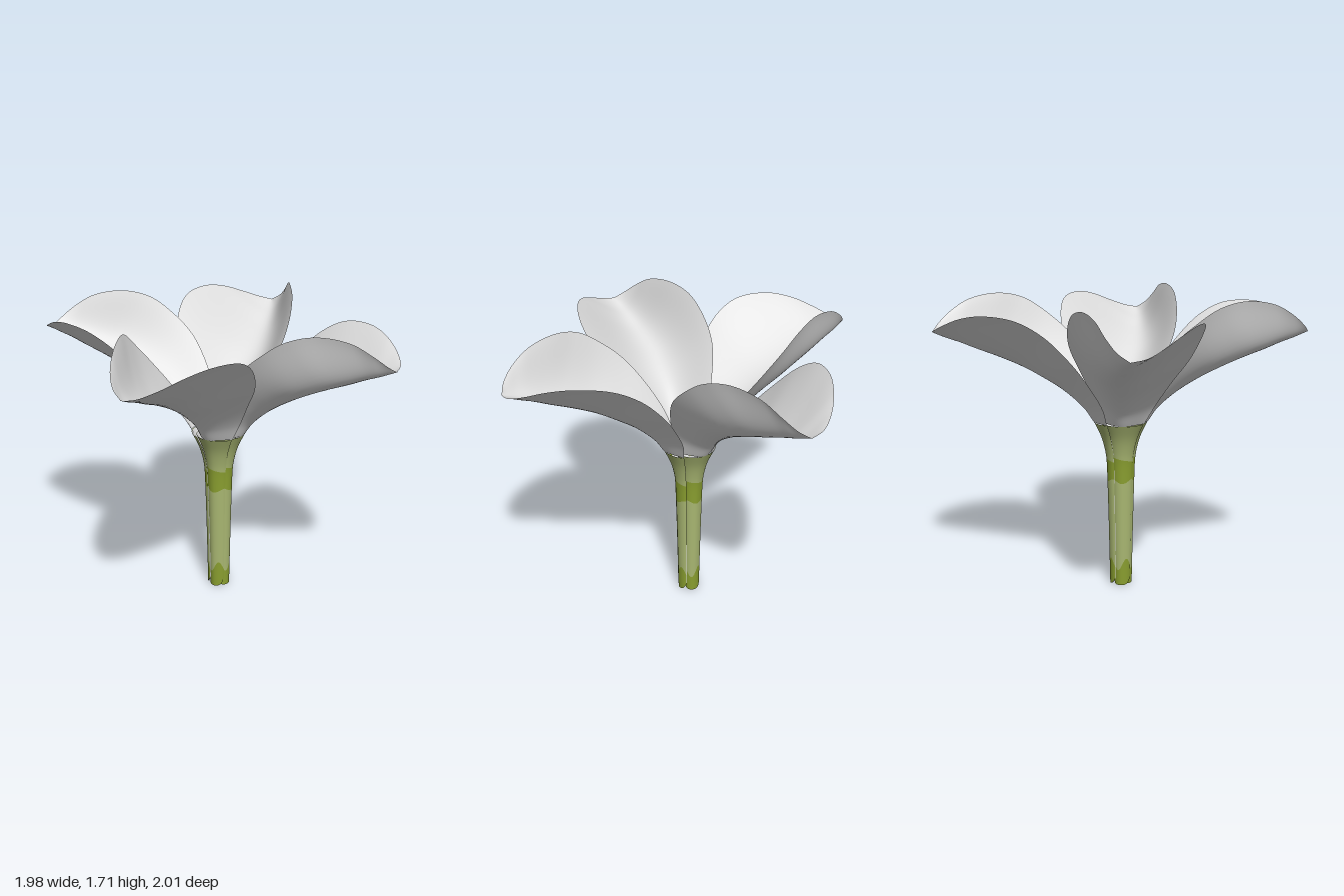
import * as THREE from 'three';

const CENTER = [0.02, -0.025];
const deg = THREE.MathUtils.degToRad;
const lerp = THREE.MathUtils.lerp;

// Smooth grid surface from a rule f(u, v) -> Vector3
function surface(f, nu, nv) {
  const pos = [], idx = [];
  for (let i = 0; i <= nu; i++) {
    for (let j = 0; j <= nv; j++) pos.push(...f(i / nu, j / nv).toArray());
  }
  for (let i = 0; i < nu; i++) {
    for (let j = 0; j < nv; j++) {
      const a = i * (nv + 1) + j, b = a + nv + 1;
      idx.push(a, b, a + 1, b, b + 1, a + 1);
    }
  }
  const g = new THREE.BufferGeometry();
  g.setAttribute('position', new THREE.Float32BufferAttribute(pos, 3));
  g.setIndex(idx);
  g.computeVertexNormals();
  return g;
}

// Curve from [sideways, outward, height] points
const curve = (pts) =>
  new THREE.CatmullRomCurve3(pts.map(([a, r, y]) => new THREE.Vector3(a, y, r)));

// Petal guide lines: inner rim, trough and outer rim, all meeting at the rounded tip
const innerRim = curve([
  [-0.099, 0.064, 0.993], [-0.13, 0.1, 1.12], [-0.18, 0.19, 1.28], [-0.22, 0.33, 1.46], [-0.2, 0.46, 1.58],
  [-0.145, 0.59, 1.675], [-0.06, 0.72, 1.71], [0.035, 0.865, 1.685], [0.105, 0.96, 1.62], [0.17, 1.01, 1.56],
  [0.235, 1.025, 1.52]]);
const trough = curve([
  [0.031, 0.154, 0.993], [0.04, 0.21, 1.075], [0.05, 0.32, 1.175], [0.07, 0.44, 1.255], [0.09, 0.56, 1.32],
  [0.12, 0.68, 1.375], [0.15, 0.79, 1.42], [0.18, 0.88, 1.46], [0.205, 0.95, 1.487], [0.22, 0.99, 1.505],
  [0.235, 1.025, 1.52]]);
const outerRim = curve([
  [0.147, 0.056, 0.993], [0.21, 0.07, 1.1], [0.31, 0.13, 1.25], [0.42, 0.21, 1.4], [0.5, 0.34, 1.55],
  [0.53, 0.48, 1.63], [0.51, 0.66, 1.65], [0.46, 0.8, 1.625], [0.39, 0.92, 1.575], [0.31, 0.998, 1.535],
  [0.235, 1.025, 1.52]]);

// Rounded trough section through the three guide lines, flaring flatter at the rims
function petalPoint(u, v) {
  const l = innerRim.getPoint(u), m = trough.getPoint(u), r = outerRim.getPoint(u);
  const s = 2 * v - 1, w = Math.abs(s);
  const slope = r.clone().sub(l).multiplyScalar(0.5);
  const bend = r.add(l).multiplyScalar(0.5).sub(m);
  return m.addScaledVector(slope, s).addScaledVector(bend, w * w * (1.8 - 0.8 * w));
}

// Stem radius by height
const profile = new THREE.SplineCurve([
  [0.063, 0], [0.067, 0.2], [0.071, 0.4], [0.076, 0.6], [0.081, 0.75],
  [0.092, 0.83], [0.115, 0.91], [0.157, 1]].map(([x, y]) => new THREE.Vector2(x, y))).getPoints(140);
function stemRadius(y) {
  const k = Math.max(1, profile.findIndex((p) => p.y >= y));
  const a = profile[k - 1], b = profile[k];
  return THREE.MathUtils.mapLinear(y, a.y, b.y, a.x, b.x);
}

// One rolled stem sheet: its inner edge tucks under the neighbouring sheet
function sheetPoint(y, v, scale) {
  const angle = deg(lerp(-57, 69, v));
  const inner = lerp(0.62, 0.75, y);
  const tuck = inner * 2 * (v - 0.5) * (v - 1) + 4 * v * (1 - v) + 2 * v * (v - 0.5);
  const r = stemRadius(y) * Math.min(tuck, 1.02) * scale;
  return new THREE.Vector3(r * Math.sin(angle), y, r * Math.cos(angle));
}

// Heights across a sheet where the stem colours meet
const borders = [
  (v) => 0.05 * Math.abs(2 * v - 1) ** 4,
  (v) => 0.13 + 0.035 * Math.sin(9 * v + 1),
  (v) => 0.645 + 0.012 * Math.sin(8 * v),
  (v) => 0.8 - 0.04 * v,
  () => 0.992];
const band = (low, high) =>
  surface((u, v) => sheetPoint(lerp(low(v), high(v), u), v, 1), 12, 24);

export function createModel() {
  const make = (name, color) => {
    const m = new THREE.MeshStandardMaterial({ color, side: THREE.DoubleSide });
    m.name = name;
    return m;
  };
  const white = make('petalWhite', 0xdedede);
  const pale = make('paleGreen', 0xa9b772);
  const green = make('leafGreen', 0x8a9f30);

  // White inside of the stem sheet, and a slim green streak on it
  const lining = surface((u, v) =>
    sheetPoint(lerp(borders[0](v), 0.99, u), v, lerp(0.91, 0.99, u)), 40, 24);
  const streak = surface((u, v) =>
    sheetPoint(lerp(0.86, 0.97, u), 0.31 + 0.09 * Math.sin(Math.PI * u) * (v - 0.5), 0.95), 8, 2);

  // A petal with its sheet of the stem, from rim to foot
  const parts = [
    ['petal', surface(petalPoint, 60, 28), white],
    ['lining', lining, white],
    ['throatStreak', streak, green],
    ['stemFoot', band(borders[0], borders[1]), green],
    ['stem', band(borders[1], borders[2]), pale],
    ['stemCollar', band(borders[2], borders[3]), green],
    ['calyx', band(borders[3], borders[4]), pale]];

  const flower = new THREE.Group();
  flower.name = 'flower';
  flower.position.set(CENTER[0], 0, CENTER[1]);

  // Four overlapping petals around the stem
  const turns = { frontPetal: 0, leftPetal: 100.1, rightPetal: -87.1, backPetal: -171.8 };
  for (const [name, turn] of Object.entries(turns)) {
    const group = new THREE.Group();
    group.name = name;
    group.rotation.y = deg(turn);
    for (const [part, geometry, material] of parts) {
      const mesh = new THREE.Mesh(geometry, material);
      mesh.name = part;
      group.add(mesh);
    }
    flower.add(group);
  }

  const model = new THREE.Group();
  model.name = 'flowerModel';
  model.add(flower);
  return model;
}
